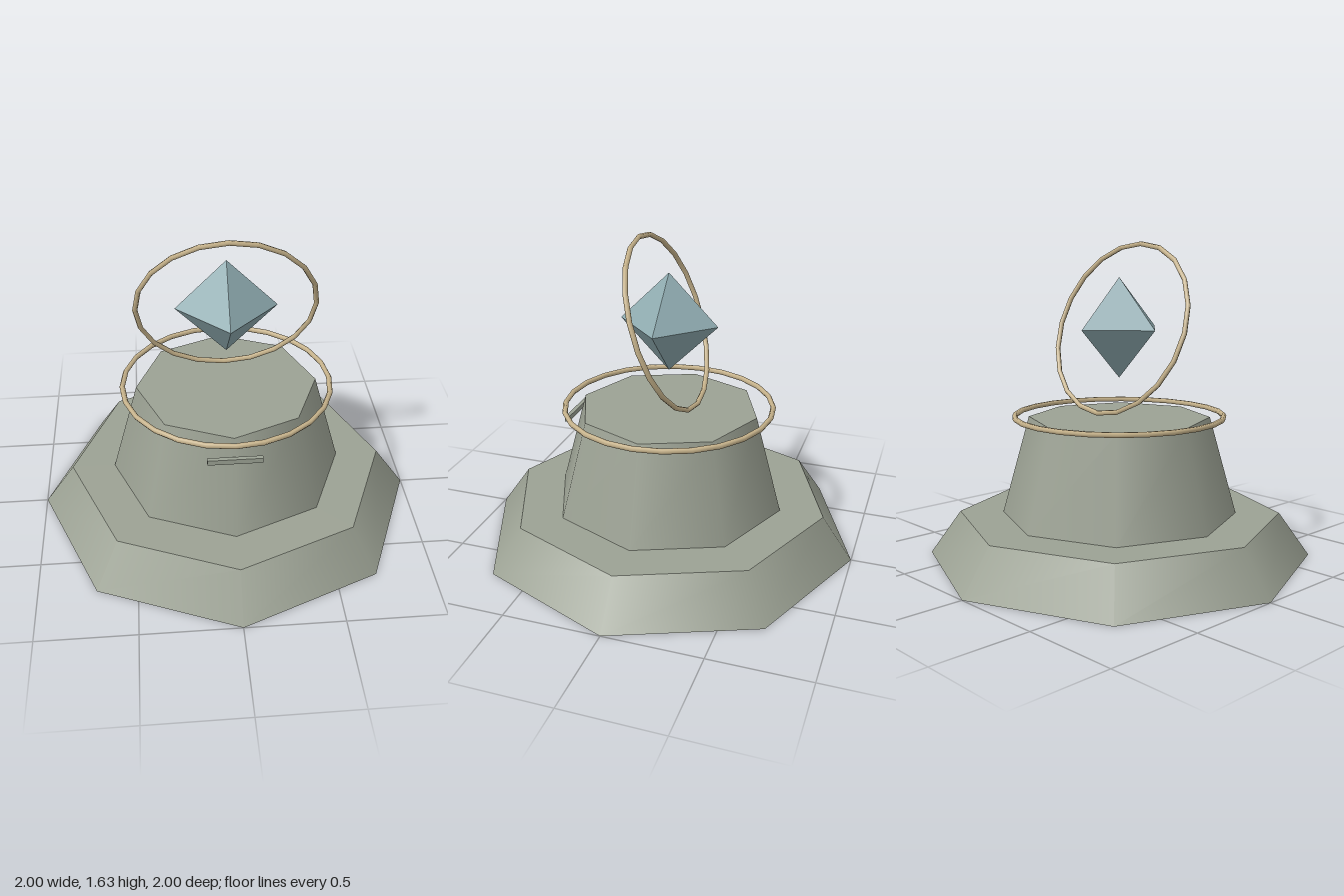
import * as THREE from 'three';

export function createModel() {
  const model = new THREE.Group();
  const material = (name, color) => {
    const m = new THREE.MeshStandardMaterial({ color });
    m.name = name;
    return m;
  };
  const stone = material('stone', 0x9ca294);
  const brass = material('brass', 0xc8b48c);
  const crystalBlue = material('crystalBlue', 0x8fabb0);
  crystalBlue.flatShading = true;

  const add = (name, geometry, mat, y, z = 0, tilt = 0) => {
    const mesh = new THREE.Mesh(geometry, mat);
    mesh.name = name;
    mesh.position.set(0, y, z);
    mesh.rotation.x = tilt;
    model.add(mesh);
  };

  // Octagonal stone tiers, smooth around the sides
  const tier = (name, top, bottom, y0, y1) =>
    add(name, new THREE.CylinderGeometry(top, bottom, y1 - y0, 8), stone, (y0 + y1) / 2);
  tier('plinth', 0.84, 1, 0, 0.226);
  tier('pedestal', 0.47, 0.612, 0.226, 0.736);

  // Small bar hovering before the pedestal
  add('frontBar', new THREE.BoxGeometry(0.272, 0.027, 0.022), stone, 0.643, 0.524);

  // Level collar ring and tilted orbit ring
  add('collarRing', new THREE.TorusGeometry(0.541, 0.014, 6, 24), brass, 0.744, 0, Math.PI / 2);
  add('orbitRing', new THREE.TorusGeometry(0.452, 0.013, 6, 20), brass, 1.198, 0, 0.35);

  // Floating crystal
  add('crystal', new THREE.OctahedronGeometry(0.257), crystalBlue, 1.198);

  return model;
}
